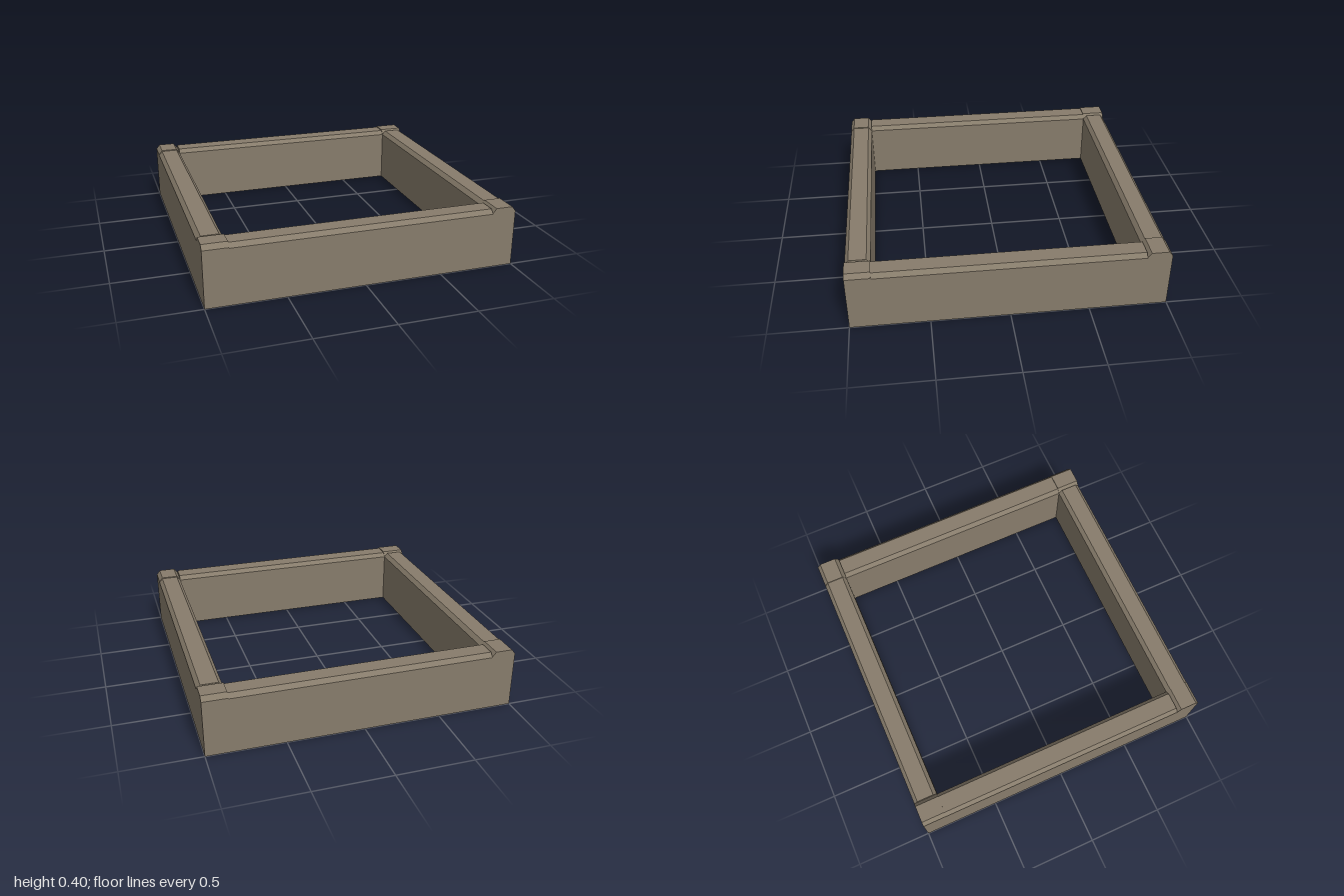
import * as THREE from 'three';

// Upright wall section, centred on its thickness, with both top edges chamfered
function wallSection(thickness, height, inset, drop) {
  const h = thickness / 2;
  return new THREE.Shape([
    new THREE.Vector2(-h, 0),
    new THREE.Vector2(h, 0),
    new THREE.Vector2(h, height - drop),
    new THREE.Vector2(h - inset, height),
    new THREE.Vector2(-h + inset, height),
    new THREE.Vector2(-h, height - drop),
  ]);
}

export function createModel() {
  const group = new THREE.Group();
  group.name = 'squareFrame';
  const stone = new THREE.MeshStandardMaterial({ color: 0x877c6b });
  stone.name = 'stone';

  const T = 0.158; // wall thickness
  const inner = 1 - T;

  // Section run along x from x0 to x1, placed on the front side
  const run = (section, x0, x1) => {
    const geo = new THREE.ExtrudeGeometry(section, { depth: x1 - x0, bevelEnabled: false });
    geo.rotateY(Math.PI / 2);
    geo.translate(x0, 0, 1 - T / 2);
    return geo;
  };

  const blockGeo = run(wallSection(T, 0.4, 0.024, 0.03), -1, -inner);
  const beamGeo = run(wallSection(T, 0.393, 0.024, 0.028), -inner, inner);

  // Four walls in a pinwheel, each with one raised corner block
  ['front', 'left', 'back', 'right'].forEach((side, i) => {
    const wall = new THREE.Group();
    wall.name = side + 'Wall';
    const block = new THREE.Mesh(blockGeo, stone);
    block.name = 'cornerBlock';
    const beam = new THREE.Mesh(beamGeo, stone);
    beam.name = 'beam';
    wall.add(block, beam);
    wall.rotation.y = (i * Math.PI) / 2;
    group.add(wall);
  });

  return group;
}
